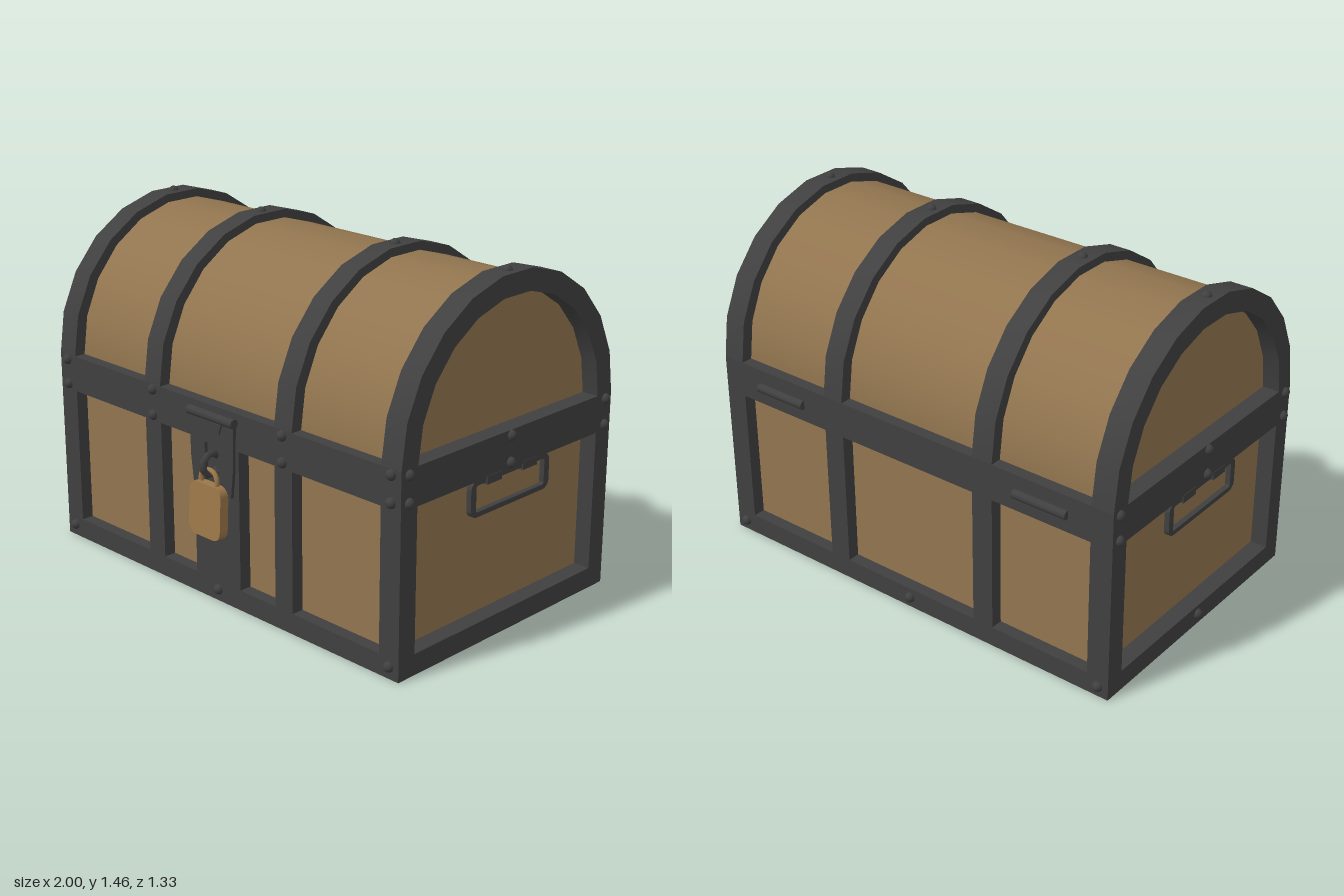
import * as THREE from 'three';
import { toCreasedNormals } from 'three/addons/utils/BufferGeometryUtils.js';

const mat = (name, color) => {
  const m = new THREE.MeshStandardMaterial({ color });
  m.name = name;
  return m;
};

export function createModel() {
  const wood = mat('wood', 0x92754f);
  const iron = mat('iron', 0x404040);
  const brass = mat('brass', 0x9c7849);
  const chest = new THREE.Group();
  chest.name = 'chest';

  const CZ = -0.029;             // centre of the chest body in z
  const HX = 0.978, HZ = 0.615;  // half sizes of the iron frame
  const RIM = 0.83;              // height where the arched lid starts

  const add = (name, geo, material, x = 0, y = 0, z = 0, parent = chest) => {
    const m = new THREE.Mesh(geo, material);
    m.name = name;
    m.position.set(x, y, z);
    parent.add(m);
    return m;
  };
  // Box given by its limits, z measured from the body centre
  const box = (name, material, x0, x1, y0, y1, z0, z1) =>
    add(name, new THREE.BoxGeometry(x1 - x0, y1 - y0, z1 - z0), material,
      (x0 + x1) / 2, (y0 + y1) / 2, CZ + (z0 + z1) / 2);
  // Rounded rectangle outline centred on the origin
  const roundRect = (path, w, h, r) => {
    const a = w / 2, b = h / 2;
    path.absarc(a - r, b - r, r, 0, Math.PI / 2);
    path.absarc(-a + r, b - r, r, Math.PI / 2, Math.PI);
    path.absarc(-a + r, -b + r, r, Math.PI, Math.PI * 1.5);
    path.absarc(a - r, -b + r, r, Math.PI * 1.5, Math.PI * 2);
    path.closePath();
    return path;
  };
  const extrude = (shape, depth, curveSegments = 4) =>
    new THREE.ExtrudeGeometry(shape, { depth, bevelEnabled: false, curveSegments })
      .translate(0, 0, -depth / 2);

  // Wooden body and barrel lid, recessed behind the iron
  const wx = HX - 0.073, wz = HZ - 0.053;
  box('woodBody', wood, -wx, wx, 0.02, RIM, -wz, wz);
  const lid = new THREE.CylinderGeometry(0.58, 0.58, wx * 2, 11, 1, false, 0, Math.PI);
  lid.rotateZ(Math.PI / 2).scale(1, 1, 0.975);
  add('woodLid', lid, wood, 0, RIM, CZ);

  // Solid iron base and the rim around the opening
  box('baseFrame', iron, -HX, HX, 0, 0.087, -HZ, HZ);
  box('rimBand', iron, -HX, HX, 0.675, RIM, -HZ, HZ);

  // Upright straps on front and back, corners included, and arched lid straps
  const arch = (inner) => {
    const s = new THREE.Shape();
    const pt = (r, i) => [r * Math.cos(i * Math.PI / 11), r * Math.sin(i * Math.PI / 11)];
    for (let i = 0; i <= 11; i++) i ? s.lineTo(...pt(HZ, i)) : s.moveTo(...pt(HZ, 0));
    for (let i = 11; i >= 0; i--) s.lineTo(...pt(inner, i));
    s.closePath();
    return s;
  };
  const straps = [[-HX, -0.88], [-0.425, -0.33], [0.33, 0.425], [0.88, HX]];
  straps.forEach(([x0, x1], i) => {
    for (const s of [-1, 1]) {
      const depth = i === 0 || i === 3 ? 0.087 : 0.07;
      const zs = [s * HZ, s * (HZ - depth)].sort((a, b) => a - b);
      box('uprightStrap', iron, x0, x1, 0.08, 0.68, zs[0], zs[1]);
    }
    const geo = extrude(arch(0.527), x1 - x0).rotateY(Math.PI / 2);
    add('lidStrap', toCreasedNormals(geo, 0.5), iron, (x0 + x1) / 2, RIM, CZ);
  });

  // Rivets
  const rivetGeo = new THREE.SphereGeometry(0.022, 10, 8);
  const rivet = (x, y, z) => add('rivet', rivetGeo, iron, x, y, z);
  const front = CZ + HZ, back = CZ - HZ;
  for (const x of [-0.93, -0.375, 0.375, 0.93]) {
    rivet(x, 0.808, front);
    rivet(x, 0.70, front);
    rivet(x, 1.435, CZ + 0.007);
  }
  for (const x of [-0.93, 0, 0.93]) {
    rivet(x, 0.05, front);
    rivet(x, 0.045, back);
  }
  for (const x of [-HX, HX])
    for (const z of [0.545, -0.022, -0.605])
      for (const y of [0.808, 0.70]) rivet(x, y, z);
  rivet(-HX, 0.05, CZ);

  // Back hinge barrels
  for (const x of [-0.655, 0.66]) {
    const geo = new THREE.CylinderGeometry(0.02, 0.02, 0.245, 10).rotateZ(Math.PI / 2);
    add('hingeBarrel', geo, iron, x, 0.75, back - 0.003);
  }

  // Carrying handles on both ends
  for (const s of [-1, 1]) {
    const ring = roundRect(new THREE.Shape(), 0.463, 0.148, 0.035);
    ring.holes.push(roundRect(new THREE.Path(), 0.403, 0.108, 0.008));
    add('handle', extrude(ring, 0.022).rotateY(Math.PI / 2), iron, s * 0.963, 0.602, -0.035);
    for (const z of [0.07, -0.14])
      add('handleBracket', new THREE.BoxGeometry(0.04, 0.034, 0.085), iron, s * 0.96, 0.664, z);
  }

  // Front lock plate, flush with the frame
  box('lockPlate', iron, -0.13, 0.13, 0.08, 0.68, 0.54, HZ);

  // Hasp with a slot, hung from a hinge barrel
  const hasp = new THREE.Shape();
  [[-0.128, 0.8], [-0.122, 0.6], [-0.108, 0.48], [0.108, 0.48], [0.122, 0.6], [0.128, 0.8]]
    .forEach(([x, y], i) => (i ? hasp.lineTo(x, y) : hasp.moveTo(x, y)));
  hasp.closePath();
  const slot = roundRect(new THREE.Path(), 0.08, 0.2, 0.008);
  hasp.holes.push(new THREE.Path(slot.getPoints(2).map((p) => p.clone().add(new THREE.Vector2(0, 0.58)))));
  add('hasp', extrude(hasp, 0.014), iron, 0, 0, 0.602);
  const barrel = new THREE.CylinderGeometry(0.02, 0.02, 0.26, 8).rotateZ(Math.PI / 2);
  add('haspHinge', barrel, iron, 0, 0.793, 0.606);
  const tab = new THREE.Shape();
  tab.moveTo(-0.065, 0.775);
  tab.lineTo(-0.05, 0.733);
  tab.lineTo(0.05, 0.733);
  tab.lineTo(0.065, 0.775);
  tab.closePath();
  add('haspTab', extrude(tab, 0.012), iron, 0, 0, 0.611);

  // Staple through the slot
  add('stapleBase', new THREE.BoxGeometry(0.06, 0.1, 0.02), iron, 0, 0.52, 0.592);
  const staple = new THREE.TorusGeometry(0.045, 0.015, 6, 8).rotateY(Math.PI / 2);
  staple.rotateX(Math.PI / 8);
  add('staple', staple, iron, 0, 0.597, 0.612);

  // Padlock, tilted slightly outwards
  const padlock = new THREE.Group();
  padlock.name = 'padlock';
  padlock.position.set(0, 0.522, 0.626);
  padlock.rotation.x = -0.05;
  chest.add(padlock);
  const body = roundRect(new THREE.Shape(), 0.182, 0.222, 0.04);
  add('padlockBody', extrude(body, 0.042), brass, 0, -0.112, 0, padlock);
  const bow = new THREE.CatmullRomCurve3([[-0.045, -0.01], [-0.045, 0.025], [-0.025, 0.05],
    [0.025, 0.05], [0.045, 0.025], [0.045, -0.01]].map(([x, y]) => new THREE.Vector3(x, y, 0)));
  add('shackle', new THREE.TubeGeometry(bow, 14, 0.01, 8), brass, 0, 0, 0, padlock);

  return chest;
}
